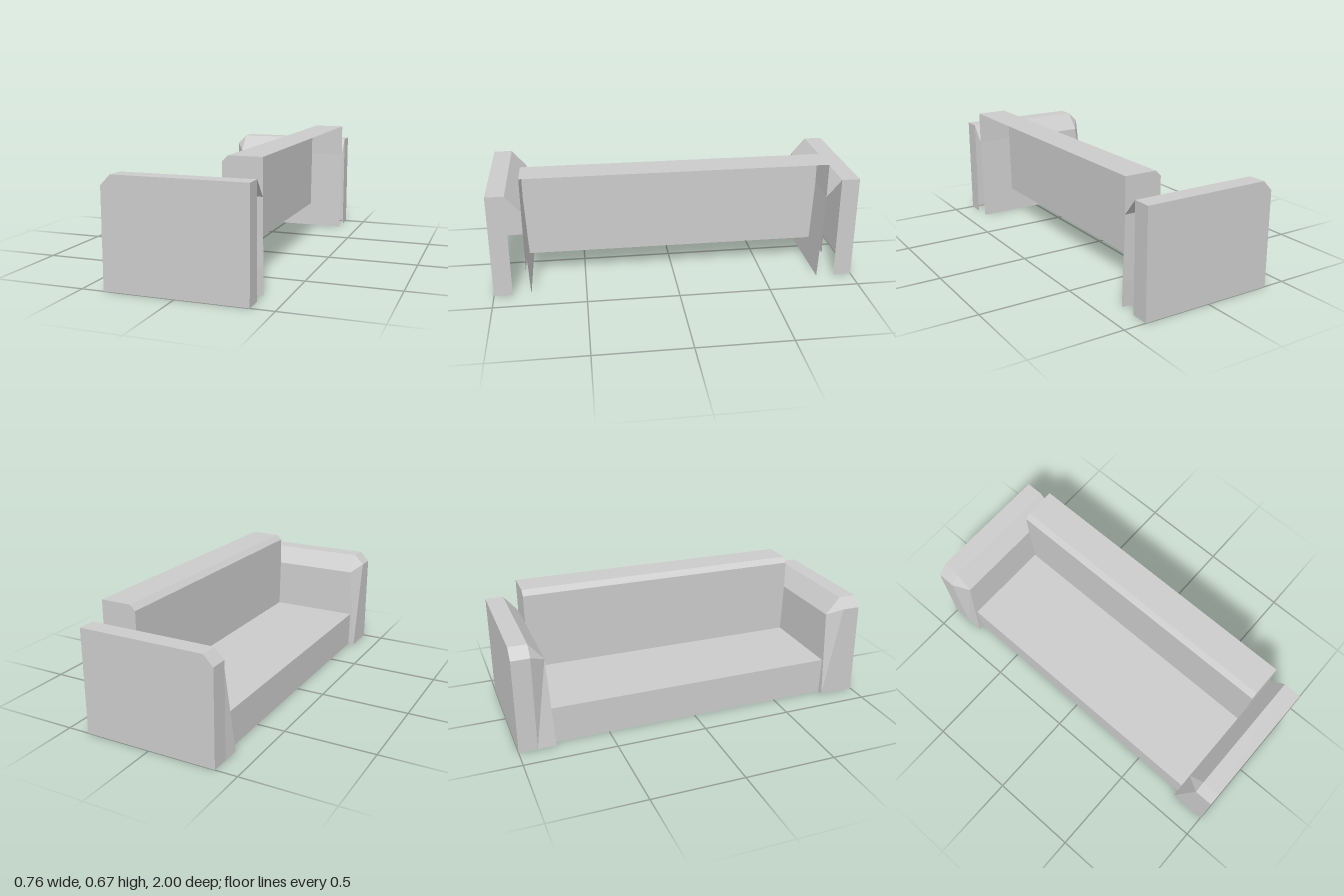
import * as THREE from 'three';

const material = new THREE.MeshStandardMaterial({ color: 0xcccccc, flatShading: true, side: THREE.DoubleSide });

// Builds a flat-faced shell from convex polygons; mirror flips it across z
function shell(name, faces, mirror = false) {
  const pos = [];
  for (const face of faces) {
    const f = mirror ? face.map(([x, y, z]) => [x, y, -z]).reverse() : face;
    for (let i = 1; i < f.length - 1; i++) pos.push(...f[0], ...f[i], ...f[i + 1]);
  }
  const g = new THREE.BufferGeometry();
  g.setAttribute('position', new THREE.Float32BufferAttribute(pos, 3));
  g.computeVertexNormals();
  const mesh = new THREE.Mesh(g, material);
  mesh.name = name;
  return mesh;
}

// Sweeps an x-y profile along z, with end caps; the profile itself may stay open
function sweep(name, profile, halfLength) {
  const faces = [];
  for (let i = 0; i < profile.length - 1; i++) {
    const [ax, ay] = profile[i], [bx, by] = profile[i + 1];
    faces.push([[ax, ay, -halfLength], [ax, ay, halfLength], [bx, by, halfLength], [bx, by, -halfLength]]);
  }
  faces.push(profile.map(([x, y]) => [x, y, halfLength]).reverse());
  faces.push(profile.map(([x, y]) => [x, y, -halfLength]));
  return shell(name, faces);
}

export function createModel() {
  const group = new THREE.Group();
  group.name = 'sofa';
  const X = 0.378, B = -0.325; // arm half depth, and where its front bevel ends
  const H = 0.58, L = 0.525, S = 0.485; // arm top, bevel foot, inner slope foot

  // Armrest: open at the bottom and over part of the back
  const arm = [
    [[-X, 0, 1], [X, 0, 1], [X, H, 1], [B, H, 1], [-X, L, 1]], // outer side
    [[B, H, 1], [X, H, 1], [X, H, 0.9], [B, H, 0.9]], // top
    [[B, H, 0.9], [X, H, 0.9], [X, S, 0.82], [B, S, 0.82]], // inner slope
    [[B, S, 0.82], [X, S, 0.82], [X, 0, 0.8], [-X, 0, 0.8]], // inner side
    [[-X, 0, 0.9], [-X, 0, 1], [-X, L, 1], [-X, L, 0.9]], // front
    [[-X, 0, 0.8], [-X, 0, 0.9], [-X, L, 0.9], [B, S, 0.82]], // front inner strip
    [[-X, L, 0.9], [-X, L, 1], [B, H, 1], [B, H, 0.9]], // front bevel
    [[-X, L, 0.9], [B, H, 0.9], [B, S, 0.82]], // bevel corner
    [[X, 0, 1], [X, 0, 0.9], [X, H, 0.9], [X, H, 1]], // back strip
  ];
  group.add(shell('armrest', arm), shell('oppositeArmrest', arm, true));

  // Backrest: front, bevel and top, open behind and below
  const back = sweep('backrest', [[0.175, 0.145], [0.175, 0.643], [0.205, 0.672], [X, 0.672], [X, 0.145]].slice(0, 4), 0.82);
  group.add(back);

  // Lower part of the backrest ends, behind the diagonal of the caps
  for (const mirror of [false, true]) {
    group.add(shell('backrestEnd', [[[0.175, 0.145, 0.82], [X, 0.145, 0.82], [X, 0.672, 0.82]]], mirror));
  }

  // Seat: front panel and cushion top
  const seat = shell('seat', [
    [[-0.342, 0, -0.82], [-0.342, 0, 0.82], [-0.342, 0.205, 0.82], [-0.342, 0.205, -0.82]],
    [[-0.342, 0.205, 0.82], [0.175, 0.205, 0.82], [0.175, 0.205, -0.82], [-0.342, 0.205, -0.82]],
  ]);
  group.add(seat);
  return group;
}
